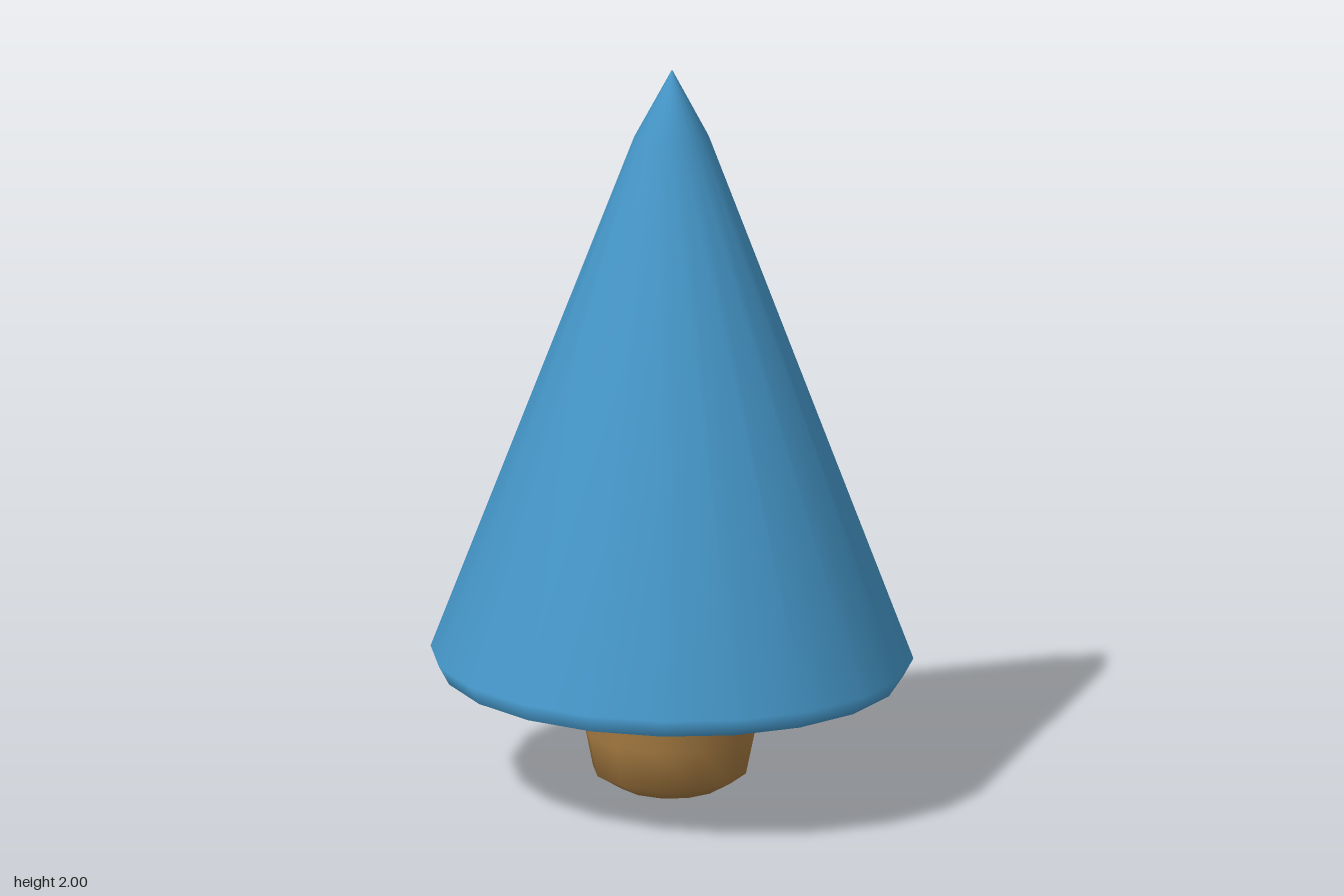
import * as THREE from 'three';

const DEPTH = 0.95; // the whole tree is slightly flattened front to back

function lathe(name, profile, sides, material) {
  const points = profile.map(([r, y]) => new THREE.Vector2(r, y));
  const mesh = new THREE.Mesh(new THREE.LatheGeometry(points, sides), material);
  mesh.scale.z = DEPTH;
  mesh.name = name;
  return mesh;
}

export function createModel() {
  const group = new THREE.Group();
  group.name = 'tree';
  const blue = new THREE.MeshStandardMaterial({ color: 0x4596c8 });
  const brown = new THREE.MeshStandardMaterial({ color: 0xa87c42 });

  // Cone of foliage with a bevelled rim and a blunter tip
  const foliage = new THREE.Group();
  foliage.name = 'foliage';
  foliage.add(lathe('foliageCone', [[0.628, 0.33], [0.656, 0.38], [0.103, 1.81], [0, 2]], 20, blue));

  // Flat underside, kept separate for a hard edge
  foliage.add(lathe('foliageUnderside', [[0, 0.33], [0.628, 0.33]], 20, blue));

  // Rounded trunk, set a little off centre
  const trunk = lathe('trunk', [
    [0, 0.002], [0.138, 0.008], [0.21, 0.05], [0.233, 0.16], [0.24, 0.33], [0.24, 0.36],
  ], 12, brown);
  trunk.position.set(-0.014, 0, -0.006);

  group.add(foliage, trunk);
  return group;
}
